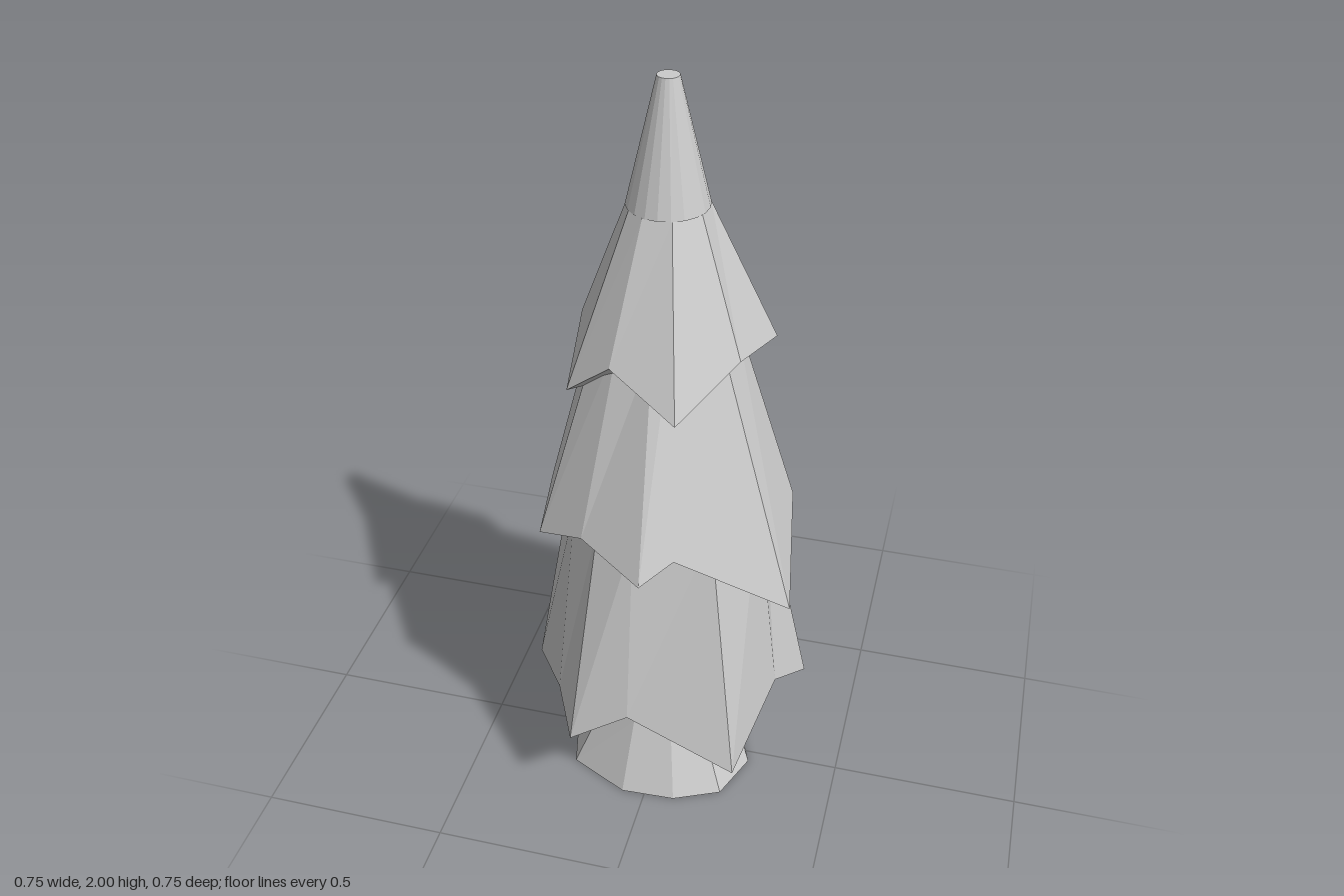
import * as THREE from 'three';

const material = new THREE.MeshStandardMaterial({ color: 0xcccccc, flatShading: true });

// Skin a stack of equal-length rings of [x, y, z] from bottom to top, closing both ends
function loft(name, rings) {
  const pos = [];
  const tri = (a, b, c) => pos.push(...a, ...b, ...c);
  const centre = ring => [0, 1, 2].map(k => ring.reduce((s, p) => s + p[k], 0) / ring.length);
  const n = rings[0].length;
  const first = rings[0], last = rings[rings.length - 1];
  const bottom = centre(first), top = centre(last);
  for (let i = 0; i < n; i++) {
    const j = (i + 1) % n;
    for (let r = 0; r < rings.length - 1; r++) {
      const lo = rings[r], hi = rings[r + 1];
      tri(lo[i], hi[i], lo[j]);
      tri(hi[i], hi[j], lo[j]);
    }
    tri(bottom, first[i], first[j]);
    tri(top, last[j], last[i]);
  }
  const geo = new THREE.BufferGeometry();
  geo.setAttribute('position', new THREE.Float32BufferAttribute(pos, 3));
  geo.computeVertexNormals();
  const mesh = new THREE.Mesh(geo, material);
  mesh.name = name;
  return mesh;
}

// Round ring that keeps the angles of a jagged rim; height maps each rim height to a new one
const roundRing = (rim, radius, height, cx = 0, cz = 0) => rim.map(p => {
  const a = Math.atan2(p[2], p[0]);
  return [cx + Math.cos(a) * radius, height(p[1]), cz + Math.sin(a) * radius];
});

// Branch tier: tucked-in underside, jagged rim, then a round top ring [radius, height, cx, cz]
function tier(name, rim, under, [radius, height, cx, cz]) {
  const mean = rim.reduce((s, p) => s + p[1], 0) / rim.length;
  const inner = roundRing(rim, under.radius, y => mean + (y - mean) * under.wave - under.drop);
  return loft(name, [inner, rim, roundRing(rim, radius, () => height, cx, cz)]);
}

export function createModel() {
  const group = new THREE.Group();
  group.name = 'firTree';

  // Flared trunk with an uneven foot: [angle in degrees, foot radius]
  const foot = [[8, 0.258], [40, 0.265], [70, 0.24], [105, 0.24], [145, 0.27], [180, 0.26],
    [222, 0.2], [250, 0.215], [282, 0.3], [315, 0.26], [345, 0.225]].map(([deg, r]) => {
    const a = THREE.MathUtils.degToRad(deg);
    return [Math.cos(a) * r, 0, Math.sin(a) * r];
  });
  group.add(loft('trunk', [foot, roundRing(foot, 0.17, () => 0.21), roundRing(foot, 0.15, () => 0.32)]));

  // Rims alternate between hanging tips and raised notches
  const lowerRim = [
    [0.376, 0.24, -0.124], [0.318, 0.33, 0.03], [0.258, 0.22, 0.29], [-0.02, 0.38, 0.315],
    [-0.17, 0.29, 0.339], [-0.24, 0.335, 0.205], [-0.378, 0.215, -0.04], [-0.225, 0.33, -0.22],
    [-0.11, 0.17, -0.376], [0.165, 0.265, -0.322], [0.25, 0.295, -0.212],
  ];
  group.add(tier('lowerBranches', lowerRim, { radius: 0.17, wave: 0.4, drop: 0.04 }, [0.25, 0.92]));

  const middleRim = [
    [0.366, 0.72, 0.175], [0.1, 0.92, 0.304], [0.031, 0.88, 0.371], [-0.135, 0.93, 0.285],
    [-0.264, 0.875, 0.22], [-0.312, 0.865, -0.034], [-0.3, 0.655, -0.24], [-0.09, 0.84, -0.314],
    [0.195, 0.75, -0.37], [0.315, 0.87, -0.104],
  ];
  group.add(tier('middleBranches', middleRim, { radius: 0.24, wave: 0.8, drop: 0.025 }, [0.165, 1.42]));

  const topRim = [
    [0.256, 1.34, -0.09], [0.205, 1.37, 0.095], [0.086, 1.265, 0.243], [-0.08, 1.37, 0.2],
    [-0.197, 1.27, 0.162], [-0.212, 1.38, -0.026], [-0.187, 1.37, -0.11],
    [-0.074, 1.3, -0.262], [0.106, 1.37, -0.205],
  ];
  group.add(tier('topBranches', topRim, { radius: 0.18, wave: 0.7, drop: 0.02 }, [0.098, 1.7, 0.007, -0.005]));

  // Blunt round spire
  const spire = new THREE.Mesh(new THREE.CylinderGeometry(0.026, 0.098, 0.3, 20), material);
  spire.position.set(0.007, 1.85, -0.005);
  spire.name = 'spire';
  group.add(spire);

  return group;
}
